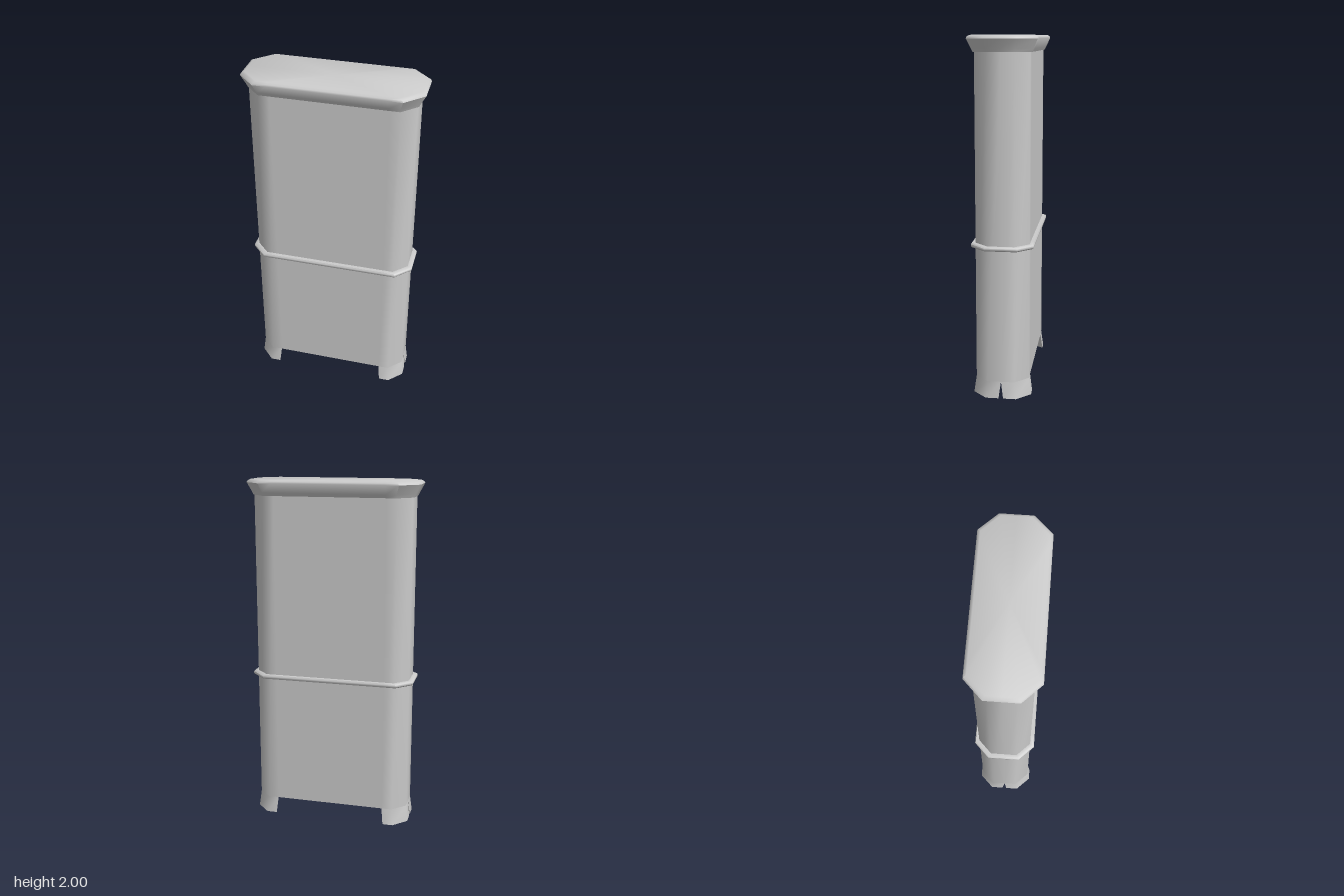
import * as THREE from 'three';
import { toCreasedNormals } from 'three/addons/utils/BufferGeometryUtils.js';

const material = new THREE.MeshStandardMaterial({ color: 0xcccccc });

// Chamfered rectangle at height y, with extra points that keep the long faces flat
function ring(hw, hd, c, y) {
  const quarter = [[0.32, hd], [hw - c, hd], [hw, hd - c]];
  const flip = (sx, sz) => quarter.map(([x, z]) => [x * sx, y, z * sz]);
  return [
    ...flip(1, 1), [hw, y, 0], ...flip(1, -1).reverse(),
    ...flip(-1, -1), [-hw, y, 0], ...flip(-1, 1).reverse(),
  ];
}

// Skin between rings listed from bottom to top, capped at both ends
function loft(name, rings) {
  const pos = [];
  const n = rings[0].length;
  const tri = (...pts) => pts.forEach((p) => pos.push(...p));
  const centre = (r) => [0, 1, 2].map((k) => r.reduce((s, p) => s + p[k], 0) / n);
  const first = rings[0], last = rings[rings.length - 1];
  const c0 = centre(first), c1 = centre(last);
  for (let i = 0; i < n; i++) {
    const j = (i + 1) % n;
    for (let k = 0; k < rings.length - 1; k++) {
      const lo = rings[k], hi = rings[k + 1];
      tri(lo[i], lo[j], hi[j]);
      tri(lo[i], hi[j], hi[i]);
    }
    tri(first[i], c0, first[j]);
    tri(last[i], last[j], c1);
  }
  const geo = new THREE.BufferGeometry();
  geo.setAttribute('position', new THREE.Float32BufferAttribute(pos, 3));
  const mesh = new THREE.Mesh(toCreasedNormals(geo, 0.9), material);
  mesh.name = name;
  return mesh;
}

export function createModel() {
  const group = new THREE.Group();
  group.name = 'cabinet';

  // Tall body with chamfered corners
  group.add(loft('body', [ring(0.455, 0.15, 0.075, 0.095), ring(0.455, 0.15, 0.075, 1.92)]));

  // Thin rounded band around the middle
  group.add(loft('band', [
    ring(0.455, 0.15, 0.075, 0.853),
    ring(0.475, 0.17, 0.083, 0.853),
    ring(0.48, 0.174, 0.085, 0.859),
    ring(0.48, 0.174, 0.085, 0.87),
    ring(0.475, 0.17, 0.083, 0.876),
    ring(0.455, 0.15, 0.075, 0.876),
  ]));

  // Flared cornice with a bevelled top
  group.add(loft('cornice', [
    ring(0.46, 0.158, 0.082, 1.912),
    ring(0.468, 0.167, 0.088, 1.93),
    ring(0.495, 0.19, 0.1, 1.982),
    ring(0.49, 0.187, 0.1, 1.992),
    ring(0.475, 0.173, 0.095, 2.0),
  ]));

  // Four flared corner feet, nearly meeting at the sides
  const footTop = [[0.32, 0.15], [0.38, 0.15], [0.455, 0.075], [0.455, 0], [0.38, 0.03]];
  const footBottom = [[0.33, 0.163], [0.39, 0.163], [0.466, 0.085], [0.466, 0.013], [0.4, 0.06]];
  for (const sx of [1, -1]) {
    for (const sz of [1, -1]) {
      const place = (outline, y) => {
        const pts = outline.map(([x, z]) => [x * sx, y, z * sz]);
        return sx * sz < 0 ? pts.reverse() : pts;
      };
      const name = (sz > 0 ? 'front' : 'back') + (sx > 0 ? 'Left' : 'Right') + 'Foot';
      group.add(loft(name, [place(footBottom, 0), place(footTop, 0.095)]));
    }
  }
  return group;
}
